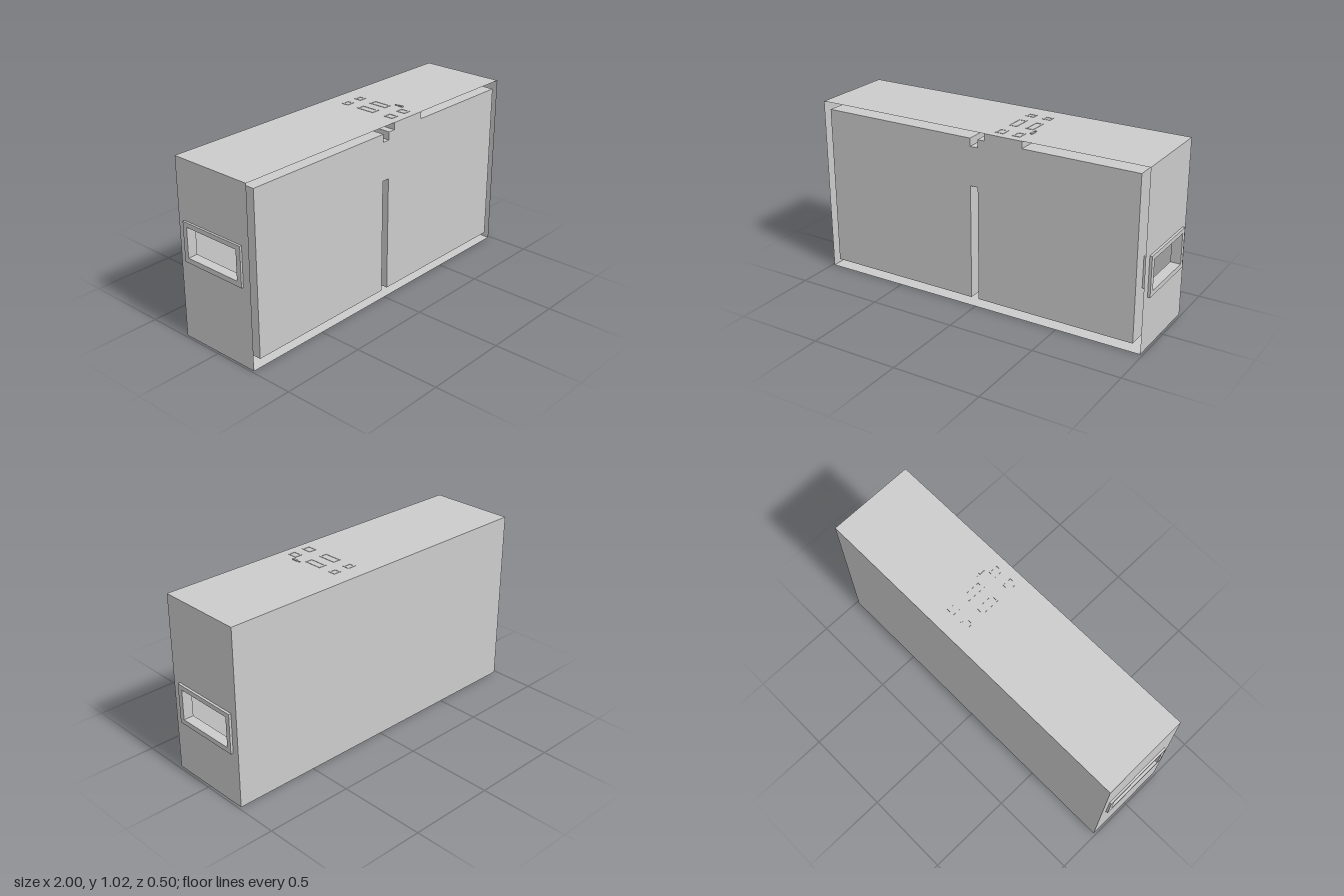
import * as THREE from 'three';

const mat = new THREE.MeshStandardMaterial({ color: 0xcccccc, side: THREE.DoubleSide, flatShading: true });

// Body limits: outer shell, inner rooms
const L = -0.988, R = 0.986, TOP = 1.01, F = 0.25, B = -0.25;
const inL = -0.944, inR = 0.942, inB = -0.21, floorY = 0.05, ceilY = 0.97;

function add(parent, name, geometry) {
  const mesh = new THREE.Mesh(geometry, mat);
  mesh.name = name;
  parent.add(mesh);
  return mesh;
}

function rect(x0, x1, y0, y1, Type = THREE.Shape) {
  return new Type([[x0, y0], [x1, y0], [x1, y1], [x0, y1]].map(p => new THREE.Vector2(...p)));
}

function ring(outer, inner) {
  const s = rect(...outer);
  s.holes.push(rect(...inner, THREE.Path));
  return s;
}

// Open prism: one wall per outline edge between depths z0 and z1
function walls(points, z0, z1, skip = []) {
  const pos = [];
  points.forEach(([ax, ay], i) => {
    if (skip.includes(i)) return;
    const [bx, by] = points[(i + 1) % points.length];
    pos.push(ax, ay, z0, bx, by, z0, bx, by, z1, ax, ay, z0, bx, by, z1, ax, ay, z1);
  });
  const g = new THREE.BufferGeometry();
  g.setAttribute('position', new THREE.Float32BufferAttribute(pos, 3));
  g.computeVertexNormals();
  return g;
}

export function createModel() {
  const model = new THREE.Group();
  model.name = 'twoRoomBox';

  // Outer shell, open at the front: roof, floor and back
  add(model, 'roofAndFloor', walls([[L, 0], [R, 0], [R, TOP], [L, TOP]], B, F, [1, 3]));
  add(model, 'backWall', new THREE.ShapeGeometry(rect(L, R, 0, TOP)).rotateY(Math.PI).translate(L + R, 0, B));

  // Inner rooms joined above a low divider, with a roof hatch shaft
  const outline = [
    [inL, floorY], [-0.024, floorY], [-0.024, 0.705], [0.021, 0.705], [0.021, floorY],
    [inR, floorY], [inR, ceilY], [0.285, ceilY], [0.285, TOP], [0.063, TOP], [0.063, ceilY],
    [0.021, ceilY], [0.021, 0.925], [-0.024, 0.925], [-0.024, ceilY], [inL, ceilY],
  ];
  add(model, 'roomLining', walls(outline, inB, F, [5, 8, 15]));
  const face = new THREE.Shape(outline.map(p => new THREE.Vector2(...p)));
  add(model, 'frontPanel', new THREE.ShapeGeometry(face).translate(0, 0, F));
  add(model, 'roomBack', new THREE.ShapeGeometry(face).translate(0, 0, inB));

  // Side walls with a framed window each
  const sides = [
    { name: 'left', outer: R, inner: inR, tip: 1, y0: 0.33, y1: 0.505 },
    { name: 'right', outer: L, inner: inL, tip: -1, y0: 0.48, y1: 0.65 },
  ];
  for (const s of sides) {
    const side = new THREE.Group();
    side.name = s.name + 'Side';
    side.rotation.y = Math.PI / 2; // local x = -z, local z = +x
    model.add(side);
    const hole = [-0.17, 0.183, s.y0, s.y1];
    const outerWall = new THREE.ShapeGeometry(ring([-F, -B, 0, TOP], hole));
    const innerWall = new THREE.ShapeGeometry(ring([-F, -inB, floorY, ceilY], hole));
    add(side, 'outerWall', outerWall.translate(0, 0, s.outer));
    add(side, 'innerWall', innerWall.translate(0, 0, s.inner));
    const [a, b, c, d] = hole;
    add(side, 'windowReveal', walls([[a, c], [b, c], [b, d], [a, d]],
      Math.min(s.inner, s.outer), Math.max(s.inner, s.outer)));
    const frame = new THREE.ExtrudeGeometry(ring([-0.2, 0.21, s.y0 - 0.028, s.y1 + 0.026], hole),
      { depth: Math.abs(s.tip - s.outer), bevelEnabled: false });
    add(side, 'windowFrame', frame.translate(0, 0, Math.min(s.tip, s.outer)));
  }

  // Six thin frames on the roof hatch
  const t = 0.008;
  for (const [x0, x1] of [[0.098, 0.148], [0.2, 0.247]]) {
    for (const [z0, z1] of [[-0.15, -0.108], [-0.04, 0.07], [0.145, 0.204]]) {
      const g = new THREE.ExtrudeGeometry(ring([x0, x1, -z1, -z0], [x0 + t, x1 - t, -z1 + t, -z0 - t]),
        { depth: 0.002, bevelEnabled: false });
      add(model, 'roofFrame', g.rotateX(-Math.PI / 2).translate(0, TOP, 0));
    }
  }

  // Small catch beside the hatch
  add(model, 'hatchCatch', new THREE.BoxGeometry(0.012, 0.006, 0.032).translate(0.272, TOP + 0.003, 0.118));
  add(model, 'catchPin', new THREE.BoxGeometry(0.008, 0.004, 0.008).translate(0.272, TOP + 0.002, 0.087));

  return model;
}
